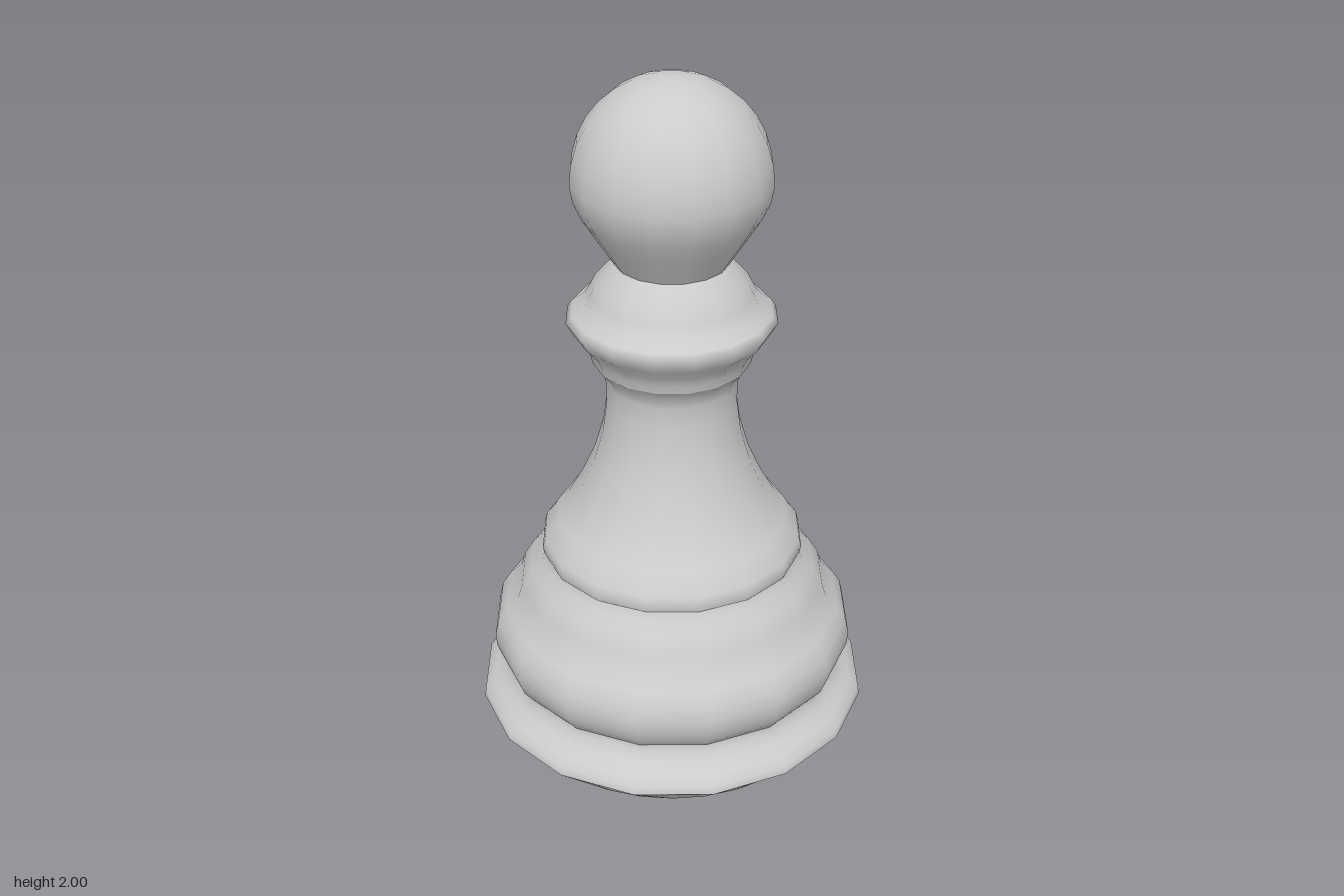
import * as THREE from 'three';

const SIDES = 16;

export function createModel() {
  const group = new THREE.Group();
  group.name = 'pawn';
  const material = new THREE.MeshStandardMaterial({ color: 0xcccccc });

  // Turn a [radius, height] profile, listed from bottom to top
  function turn(name, profile) {
    const points = profile.map(([r, y]) => new THREE.Vector2(r, y));
    const mesh = new THREE.Mesh(new THREE.LatheGeometry(points, SIDES), material);
    mesh.name = name;
    group.add(mesh);
    return mesh;
  }

  // Flat bottom and chamfered underside: round at the floor, 16-sided at the rim
  const bottom = new THREE.Mesh(new THREE.CircleGeometry(0.478, SIDES * 2), material);
  bottom.rotation.x = Math.PI / 2;
  bottom.name = 'bottom';
  group.add(bottom);

  const underside = new THREE.LatheGeometry(
    [new THREE.Vector2(0.478, 0), new THREE.Vector2(0.575, 0.09)], SIDES * 2);
  const pos = underside.attributes.position;
  const chord = Math.cos(Math.PI / SIDES);
  for (let i = 0; i < pos.count; i++) {
    const column = Math.floor(i / 2);
    if (i % 2 === 1 && column % 2 === 1) {
      pos.setX(i, pos.getX(i) * chord);
      pos.setZ(i, pos.getZ(i) * chord);
    }
  }
  const undersideMesh = new THREE.Mesh(underside, material);
  undersideMesh.name = 'underside';
  group.add(undersideMesh);

  // Foot rim up to the first groove
  turn('footRim', [
    [0.575, 0.09], [0.572, 0.115], [0.545, 0.135], [0.515, 0.16], [0.497, 0.185], [0.495, 0.205],
  ]);

  // Rounded base bulge and stepped shoulder
  turn('base', [
    [0.495, 0.205], [0.515, 0.23], [0.53, 0.27], [0.533, 0.31], [0.523, 0.355], [0.497, 0.395],
    [0.462, 0.43], [0.448, 0.475], [0.42, 0.52], [0.388, 0.555], [0.378, 0.58],
  ]);

  // Shoulder ring and flared stem
  turn('stem', [
    [0.378, 0.58], [0.382, 0.6], [0.376, 0.625], [0.352, 0.655], [0.335, 0.685], [0.308, 0.71],
    [0.265, 0.785], [0.225, 0.875], [0.198, 0.97], [0.186, 1.06], [0.186, 1.12], [0.195, 1.155],
    [0.222, 1.185],
  ]);

  // Collar with a sharp flange
  turn('collar', [
    [0.222, 1.185], [0.228, 1.21], [0.24, 1.24], [0.272, 1.275], [0.295, 1.315],
    [0.28, 1.335], [0.245, 1.36], [0.228, 1.39], [0.213, 1.42], [0.182, 1.455], [0.158, 1.48],
  ]);

  // Slightly egg-shaped head, round above and tapering to the neck
  const head = [[0.158, 1.48], [0.183, 1.52], [0.212, 1.565], [0.243, 1.615], [0.266, 1.665]];
  for (let i = 0; i <= 8; i++) {
    const a = (i / 8) * Math.PI / 2;
    head.push([i === 8 ? 0 : 0.275 * Math.cos(a), 1.715 + 0.285 * Math.sin(a)]);
  }
  turn('head', head);

  return group;
}
